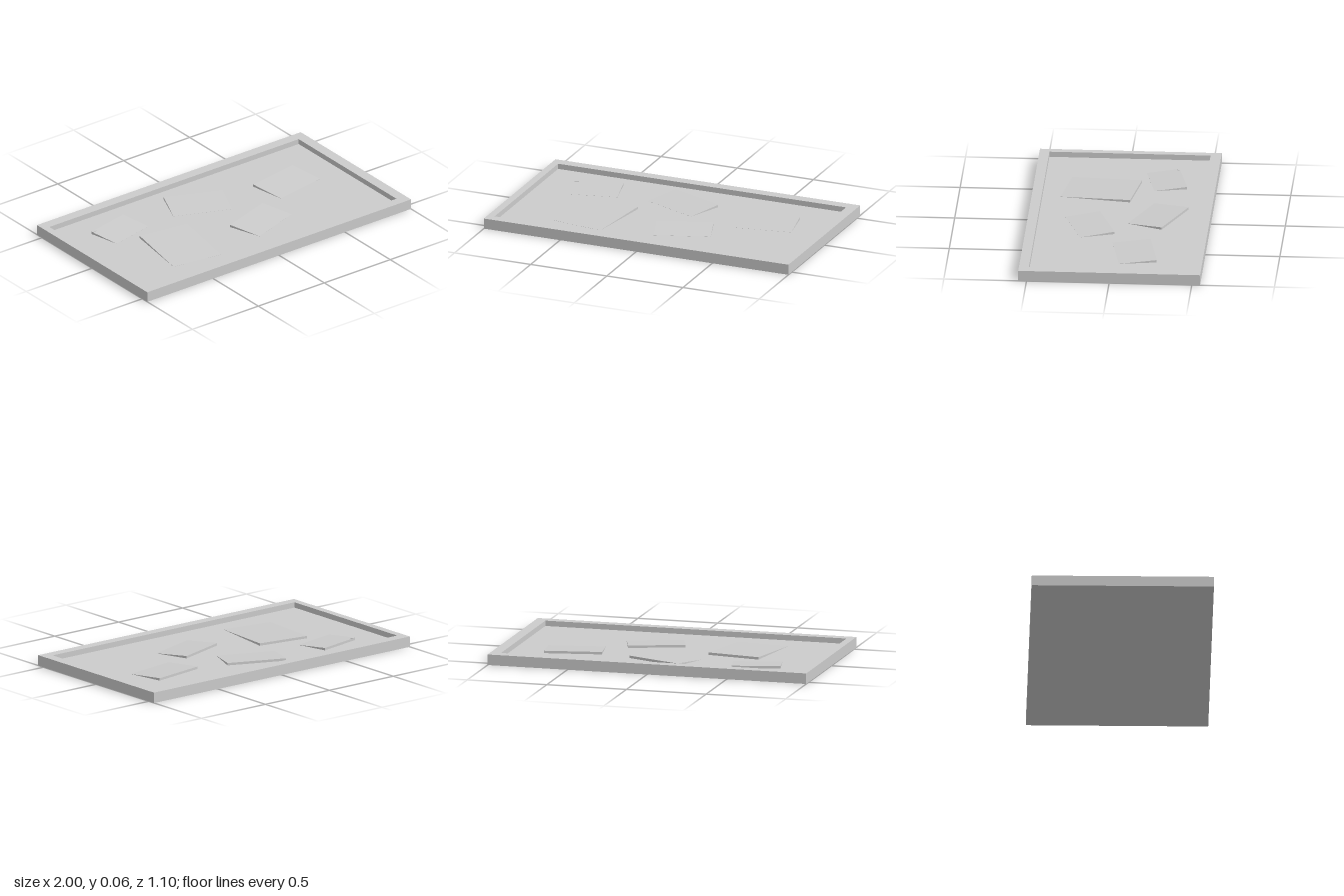
import * as THREE from 'three';

const FLOOR = 0.032, HEIGHT = 0.065, RAISED = 0.047;

export function createModel() {
  const model = new THREE.Group();
  model.name = 'shallowTray';
  const material = new THREE.MeshStandardMaterial({ color: 0xcccccc, flatShading: true });

  function add(name, geometry, parent = model) {
    const mesh = new THREE.Mesh(geometry, material);
    mesh.name = name;
    parent.add(mesh);
    return mesh;
  }

  // Rim: one rectangular frame around the slightly off-centre recess
  const outline = new THREE.Shape([[-1, -0.55], [1, -0.55], [1, 0.55], [-1, 0.55]].map(p => new THREE.Vector2(...p)));
  outline.holes.push(new THREE.Path([[-0.955, -0.49], [-0.955, 0.485], [0.935, 0.485], [0.935, -0.49]].map(p => new THREE.Vector2(...p))));
  const rim = new THREE.ExtrudeGeometry(outline, { depth: HEIGHT, bevelEnabled: false });
  rim.rotateX(-Math.PI / 2);
  add('rim', rim);

  // Recessed floor, filling the opening in the frame
  add('floor', new THREE.BoxGeometry(1.89, FLOOR, 0.975)).position.set(-0.01, FLOOR / 2, 0.0025);

  // Sloping panel: high along its back edge, running down into the floor.
  // (x0, z0) and (x1, z1) are the ends of the back edge.
  function addPanel([x0, z0, x1, z1, length]) {
    const width = Math.hypot(x1 - x0, z1 - z0);
    const base = FLOOR - 0.006;
    const geometry = new THREE.BoxGeometry(width, RAISED - base, length);
    geometry.translate(width / 2, (RAISED + base) / 2, length / 2);
    const p = geometry.attributes.position;
    for (let i = 0; i < p.count; i++) {
      if (p.getZ(i) > length / 2 && p.getY(i) > FLOOR) p.setY(i, FLOOR + 0.0005);
    }
    geometry.computeVertexNormals();
    const group = new THREE.Group();
    group.name = 'slopedPanel';
    group.position.set(x0, 0, z0);
    group.rotation.y = -Math.atan2(z1 - z0, x1 - x0);
    add('panelWedge', geometry, group);
    model.add(group);
    return group;
  }

  const panels = [
    [-0.77, -0.31, -0.48, -0.375, 0.2],
    [-0.15, -0.405, 0.19, -0.265, 0.23],
    [0.38, -0.21, 0.725, -0.27, 0.23],
    [-0.57, -0.095, -0.243, -0.045, 0.43],
    [-0.05, 0.125, 0.28, 0.015, 0.215],
  ].map(addPanel);

  // Small raised corner on the smallest panel
  add('cornerTab', new THREE.BoxGeometry(0.027, 0.016, 0.016), panels[0]).position.set(0.0135, 0.041, 0.008);

  return model;
}
